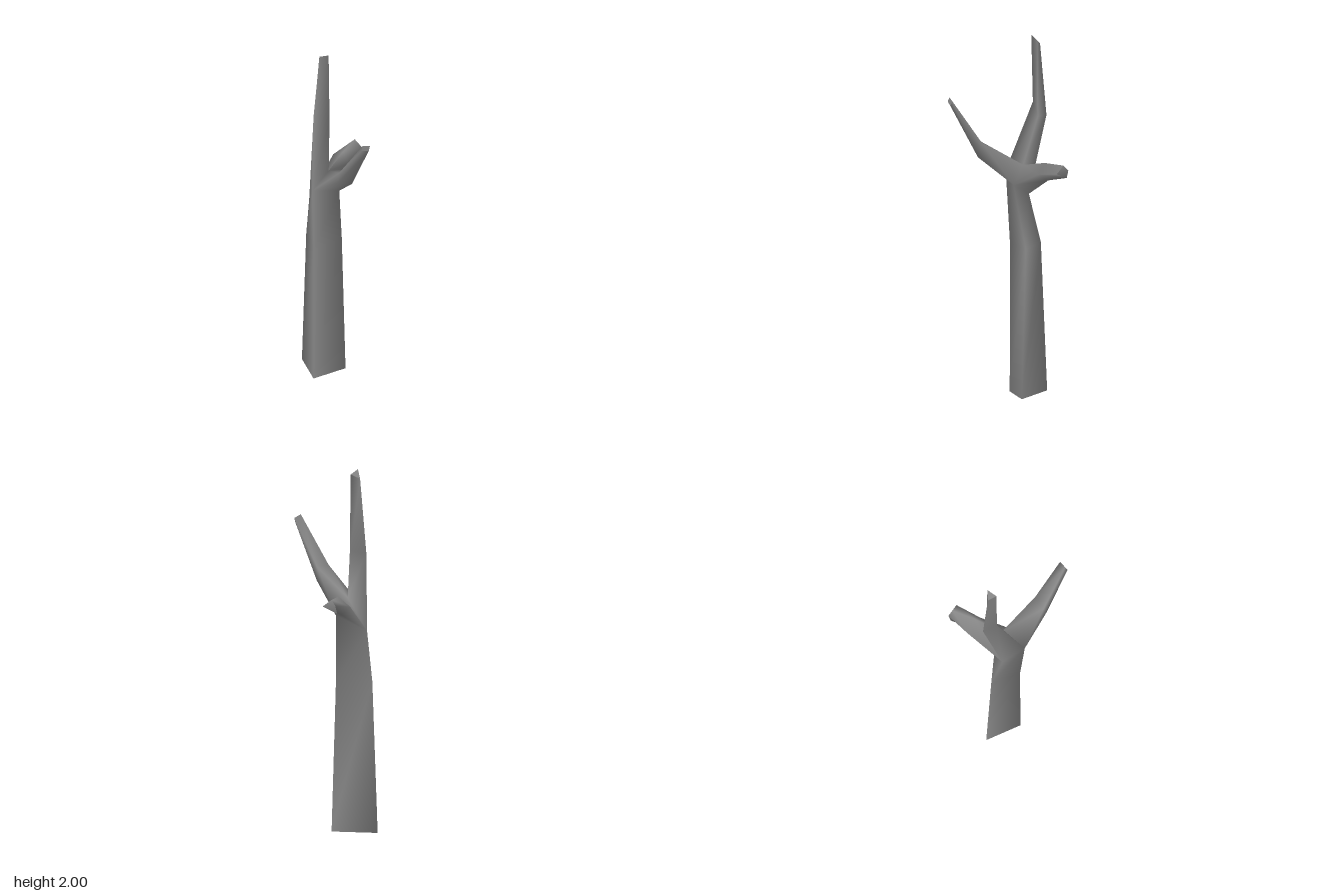
import * as THREE from 'three';

// Rings are cross-sections, ordered counter-clockwise seen from the growing end.
const leftFront = [-0.175, 0, 1.23], rightFront = [-0.015, -0.035, 1.183];
const back = [-0.16, -0.125, 1.1], crotch = [-0.06, -0.09, 1.285];
// All points are [x, z, height]. A repeated root corner fans out into two branch corners.
const limbs = {
  trunk: [
    [[-0.163, -0.021, 0], [0.031, -0.077, 0], [-0.175, -0.225, 0]],
    [[-0.162, -0.022, 0.83], [0.016, -0.1, 0.83], [-0.16, -0.19, 0.83]],
    [leftFront, rightFront, back],
  ],
  frontBranch: [
    [leftFront, rightFront, crotch, leftFront],
    [[-0.075, 0.165, 1.37], [0.005, 0.16, 1.345], [0.015, 0.137, 1.425], [-0.065, 0.155, 1.425]],
    [[0.015, 0.325, 1.66], [0.06, 0.312, 1.645], [0.07, 0.303, 1.67], [0.025, 0.315, 1.685]],
  ],
  sideBranch: [
    [rightFront, back, back, crotch],
    [[0.07, -0.165, 1.26], [0.04, -0.22, 1.22], [0.01, -0.264, 1.27], [0.05, -0.2, 1.32]],
    [[0.175, -0.26, 1.285], [0.115, -0.317, 1.25], [0.13, -0.325, 1.295], [0.14, -0.298, 1.325]],
  ],
  topBranch: [
    [back, leftFront, crotch],
    [[-0.11, -0.218, 1.55], [-0.13, -0.145, 1.62], [-0.035, -0.168, 1.56]],
    [[-0.09, -0.182, 1.955], [-0.1, -0.135, 2], [-0.041, -0.165, 1.98]],
  ],
};

// Indexed mesh from triangles; equal point objects are welded so normals run smoothly.
function meshFrom(name, triangles, material) {
  const ids = new Map(), positions = [], index = [];
  for (const p of triangles.flat()) {
    if (!ids.has(p)) {
      ids.set(p, ids.size);
      positions.push(p[0], p[2], p[1]);
    }
    index.push(ids.get(p));
  }
  const geometry = new THREE.BufferGeometry();
  geometry.setAttribute('position', new THREE.Float32BufferAttribute(positions, 3));
  geometry.setIndex(index);
  geometry.computeVertexNormals();
  const mesh = new THREE.Mesh(geometry, material);
  mesh.name = name;
  return mesh;
}

// Triangles that close a ring
const fan = (ring) => ring.slice(2).map((p, i) => [ring[0], ring[i + 1], p]);

export function createModel() {
  const group = new THREE.Group();
  group.name = 'bareTree';
  const material = new THREE.MeshStandardMaterial({ color: 0x868686 });

  // Bark: trunk and branches as one smooth skin
  const bark = [];
  for (const rings of Object.values(limbs)) {
    for (let r = 0; r < rings.length - 1; r++) {
      const low = rings[r], high = rings[r + 1];
      for (let i = 0; i < low.length; i++) {
        const j = (i + 1) % low.length;
        if (low[i] !== low[j]) bark.push([low[i], low[j], high[j]]);
        bark.push([low[i], high[j], high[i]]);
      }
    }
  }
  group.add(meshFrom('trunkAndBranches', bark, material));

  // Flat cut ends
  group.add(meshFrom('trunkBase', fan([...limbs.trunk[0]].reverse()), material));
  for (const name of ['frontBranch', 'sideBranch', 'topBranch']) {
    group.add(meshFrom(name + 'Tip', fan(limbs[name][2]), material));
  }
  return group;
}
